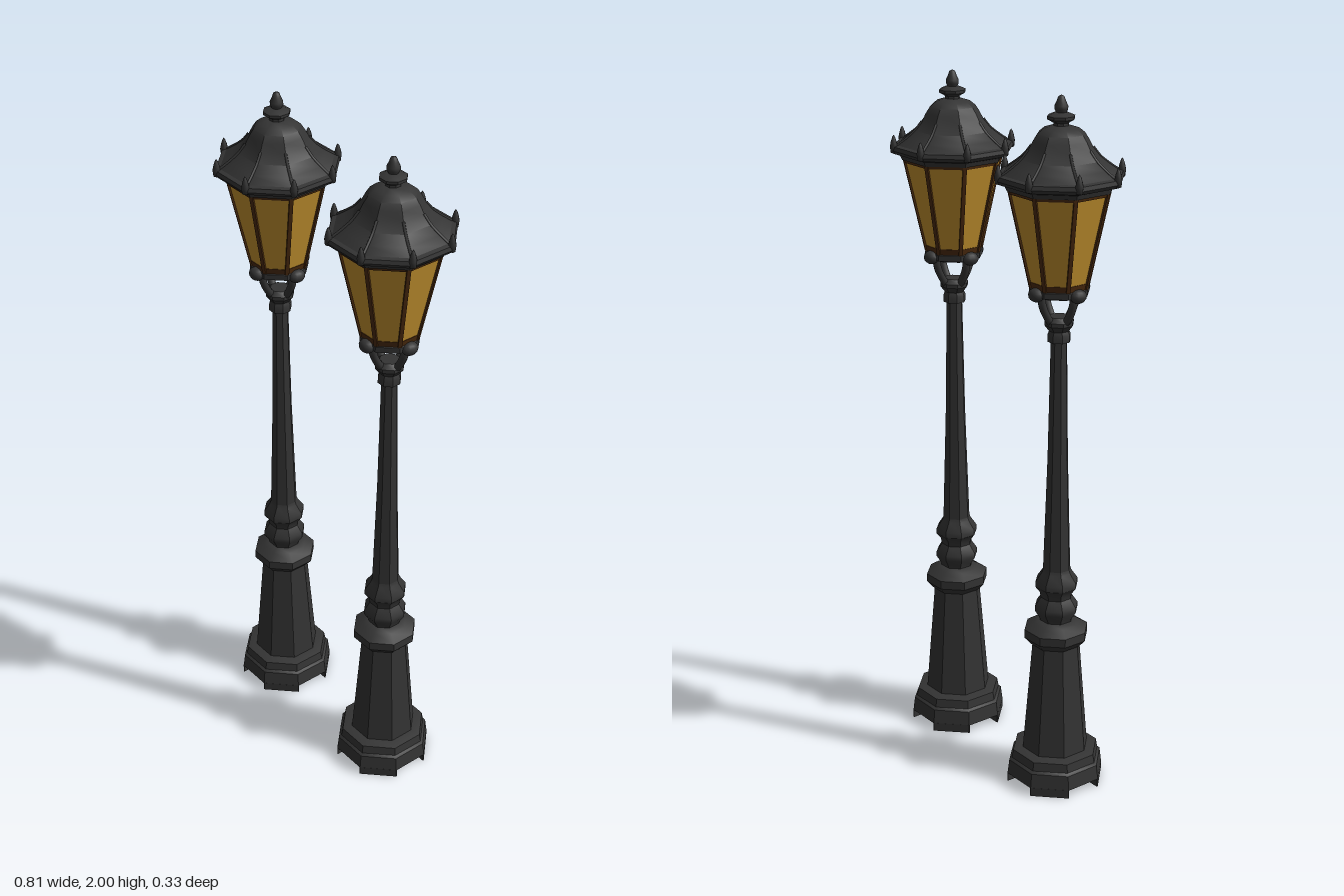
import * as THREE from 'three';
import { toCreasedNormals } from 'three/addons/utils/BufferGeometryUtils.js';

const EIGHTH = Math.PI / 8;
const CORNER = 1 / Math.cos(EIGHTH); // flat-to-corner ratio of an octagon

const iron = new THREE.MeshStandardMaterial({ color: 0x343434 });
iron.name = 'cast iron';
const amber = new THREE.MeshStandardMaterial({ color: 0xc4922f });
amber.name = 'amber glass';
const bronze = new THREE.MeshStandardMaterial({ color: 0x4a2a0e });
bronze.name = 'dark bronze';

function part(parent, name, geometry, material) {
  const mesh = new THREE.Mesh(geometry, material);
  mesh.name = name;
  parent.add(mesh);
  return mesh;
}

// Eight-sided turning; profile is [flat-side radius, height], bottom to top
function octagon(profile) {
  const points = profile.map(([r, y]) => new THREE.Vector2(r * CORNER, y));
  return toCreasedNormals(new THREE.LatheGeometry(points, 8, EIGHTH), 0.6);
}

// Point at a given radius and height, at an angle around the post
function around(angle, r, y) {
  return new THREE.Vector3(Math.sin(angle) * r, y, Math.cos(angle) * r);
}

function createPost(lamp) {
  // Four feet under the diagonal faces, leaving a cross-shaped channel
  const foot = new THREE.Shape([
    new THREE.Vector2(0.052, 0.052),
    new THREE.Vector2(0.132, 0.052),
    new THREE.Vector2(0.132, 0.055),
    new THREE.Vector2(0.055, 0.132),
    new THREE.Vector2(0.052, 0.132),
  ]);
  const footGeometry = new THREE.ExtrudeGeometry(foot, { depth: 0.026, bevelEnabled: false });
  footGeometry.rotateX(-Math.PI / 2);
  for (let i = 0; i < 4; i++) {
    part(lamp, 'foot', footGeometry, iron).rotation.y = i * Math.PI / 2;
  }

  part(lamp, 'plinth', octagon([
    [0, 0.025], [0.132, 0.025], [0.127, 0.068], [0.12, 0.075], [0.116, 0.1], [0.09, 0.106], [0, 0.106],
  ]), iron);
  part(lamp, 'pedestal', octagon([[0.09, 0.1], [0.064, 0.44]]), iron);
  part(lamp, 'pedestalCollar', octagon([
    [0, 0.435], [0.068, 0.435], [0.086, 0.457], [0.086, 0.482], [0.06, 0.5], [0.045, 0.508], [0, 0.508],
  ]), iron);
  part(lamp, 'shaftRings', octagon([
    [0.043, 0.5], [0.045, 0.515], [0.058, 0.538], [0.058, 0.552], [0.042, 0.578],
    [0.045, 0.595], [0.057, 0.612], [0.057, 0.628], [0.04, 0.655], [0.037, 0.665],
  ]), iron);
  part(lamp, 'shaft', octagon([[0.037, 0.66], [0.027, 1.0], [0.021, 1.35]]), iron);
  part(lamp, 'capital', octagon([
    [0, 1.335], [0.03, 1.335], [0.03, 1.355], [0.026, 1.365], [0.038, 1.382], [0.038, 1.393], [0.026, 1.405], [0, 1.405],
  ]), iron);
}

function createBracket(lamp) {
  // Four curved arms, each ending in a rounded scroll
  const knob = new THREE.SphereGeometry(0.019, 12, 8);
  for (let i = 0; i < 4; i++) {
    const angle = i * Math.PI / 2;
    const curve = new THREE.CatmullRomCurve3([
      around(angle, 0.024, 1.385), around(angle, 0.042, 1.41),
      around(angle, 0.058, 1.445), around(angle, 0.062, 1.485),
    ]);
    part(lamp, 'arm', new THREE.TubeGeometry(curve, 10, 0.011, 8), iron);
    const scroll = part(lamp, 'armScroll', knob, iron);
    scroll.position.copy(around(angle, 0.08, 1.477));
    scroll.rotation.y = angle;
    scroll.scale.x = 1.3;
  }
  part(lamp, 'lanternSeat', octagon([
    [0, 1.465], [0.06, 1.465], [0.078, 1.472], [0.078, 1.488], [0.07, 1.495], [0, 1.495],
  ]), iron);
}

function createLantern(lamp) {
  part(lamp, 'glass', octagon([[0.074, 1.49], [0.13, 1.76]]), amber);
  part(lamp, 'lowerFrame', octagon([[0.075, 1.485], [0.079, 1.507], [0.07, 1.508]]), bronze);
  part(lamp, 'upperFrame', octagon([[0.12, 1.747], [0.13, 1.747], [0.134, 1.765]]), bronze);

  // Slim glazing bars along the eight corners
  const low = around(0, 0.074 * CORNER, 1.49);
  const high = around(0, 0.13 * CORNER, 1.76);
  const barGeometry = new THREE.BoxGeometry(0.011, low.distanceTo(high), 0.007);
  barGeometry.rotateX(Math.atan2(high.z - low.z, high.y - low.y));
  barGeometry.translate(0, (low.y + high.y) / 2, (low.z + high.z) / 2);
  for (let i = 0; i < 8; i++) {
    part(lamp, 'glazingBar', barGeometry, bronze).rotation.y = EIGHTH + i * 2 * EIGHTH;
  }
}

function createRoof(lamp) {
  part(lamp, 'eave', octagon([
    [0, 1.755], [0.135, 1.755], [0.14, 1.768], [0.156, 1.773], [0.163, 1.783], [0.16, 1.794], [0.148, 1.797],
  ]), iron);
  part(lamp, 'roof', octagon([
    [0.152, 1.793], [0.125, 1.813], [0.1, 1.835], [0.081, 1.861], [0.071, 1.882],
    [0.06, 1.9], [0.045, 1.913], [0.022, 1.921], [0, 1.922],
  ]), iron);

  // Ridge ribs and upright spikes at the eight corners
  const ridge = new THREE.CatmullRomCurve3([
    [0.152, 1.793], [0.125, 1.813], [0.1, 1.835], [0.081, 1.861],
  ].map(([r, y]) => around(0, r * CORNER, y)));
  const ridgeGeometry = new THREE.TubeGeometry(ridge, 8, 0.004, 6);
  const spikeGeometry = new THREE.LatheGeometry([
    [0, -0.022], [0.009, -0.018], [0.011, 0], [0.008, 0.014], [0.004, 0.026], [0, 0.032],
  ].map(([r, y]) => new THREE.Vector2(r, y)), 8);
  spikeGeometry.translate(0, 1.795, 0.169);
  for (let i = 0; i < 8; i++) {
    const angle = EIGHTH + i * 2 * EIGHTH;
    part(lamp, 'roofRidge', ridgeGeometry, iron).rotation.y = angle;
    part(lamp, 'cornerSpike', spikeGeometry, iron).rotation.y = angle;
  }

  part(lamp, 'finialCollar', octagon([
    [0.02, 1.915], [0.019, 1.928], [0.035, 1.938], [0.035, 1.946], [0.016, 1.955], [0, 1.955],
  ]), iron);
  part(lamp, 'finial', new THREE.LatheGeometry([
    [0.011, 1.95], [0.018, 1.963], [0.018, 1.972], [0.012, 1.985], [0.008, 1.996], [0, 2],
  ].map(([r, y]) => new THREE.Vector2(r, y)), 16), iron);
}

export function createModel() {
  const model = new THREE.Group();
  model.name = 'streetLamps';
  for (const side of [-1, 1]) {
    const lamp = new THREE.Group();
    lamp.name = side > 0 ? 'leftLamp' : 'rightLamp';
    lamp.position.x = side * 0.24;
    createPost(lamp);
    createBracket(lamp);
    createLantern(lamp);
    createRoof(lamp);
    model.add(lamp);
  }
  return model;
}
